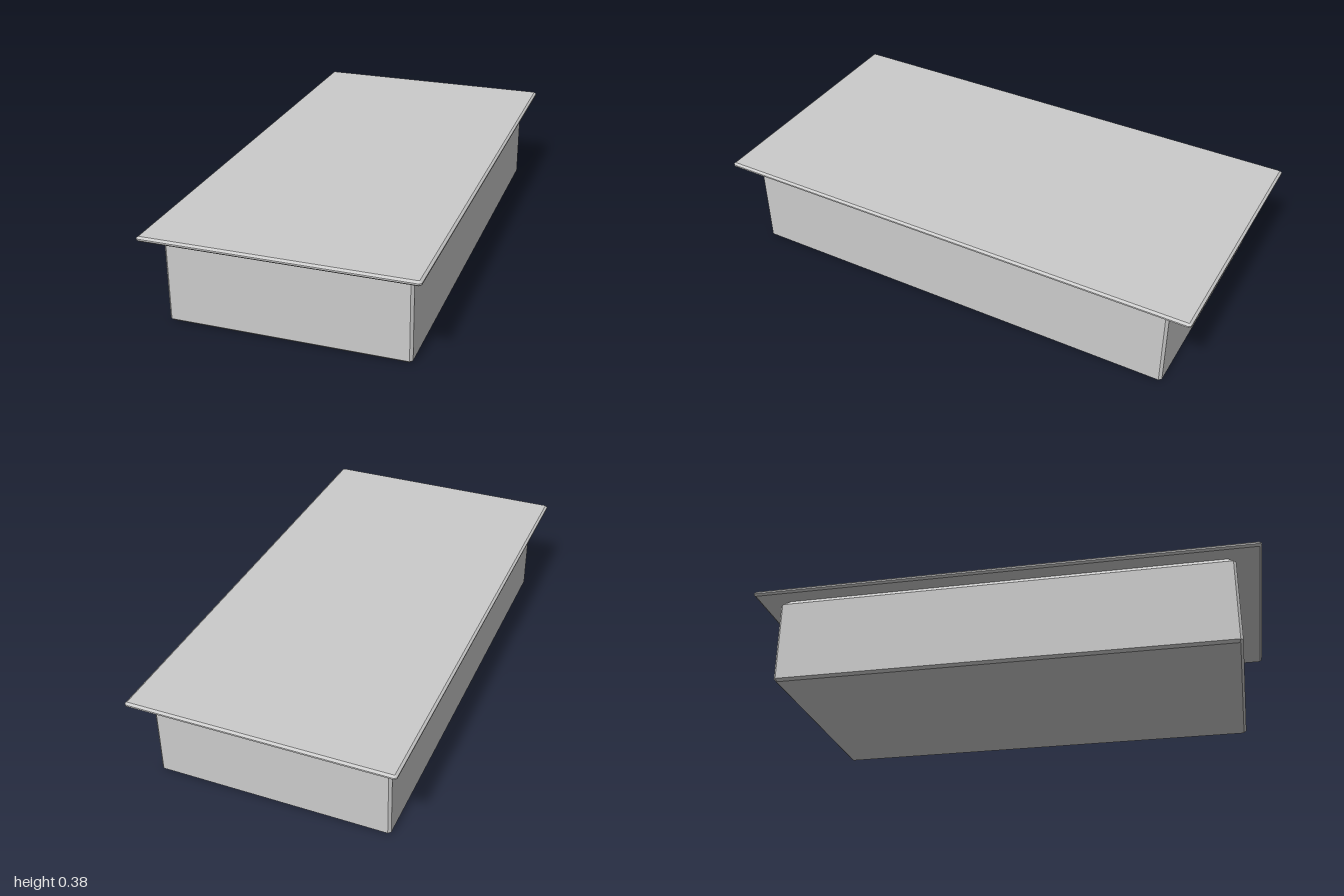
import * as THREE from 'three';

// Stacks chamfered rectangles [y, halfX, halfZ, cornerCut] into a closed solid.
function bevelledBlock(name, sections, material) {
  const rings = sections.map(([y, x, z, c]) => [
    [x, z - c], [x - c, z], [c - x, z], [-x, z - c],
    [-x, c - z], [c - x, -z], [x - c, -z], [x, c - z],
  ].map(([px, pz]) => [px, y, pz]));
  const positions = [];
  const triangle = (a, b, c) => positions.push(...a, ...b, ...c);
  // Side walls
  for (let r = 0; r < rings.length - 1; r++) {
    for (let i = 0; i < 8; i++) {
      const j = (i + 1) % 8;
      const [a, b] = [rings[r][i], rings[r][j]];
      const [c, d] = [rings[r + 1][i], rings[r + 1][j]];
      triangle(a, c, b);
      triangle(b, c, d);
    }
  }
  // Bottom and top caps
  const bottom = rings[0];
  const top = rings[rings.length - 1];
  for (let i = 1; i < 7; i++) {
    triangle(bottom[0], bottom[i], bottom[i + 1]);
    triangle(top[0], top[i + 1], top[i]);
  }
  const geometry = new THREE.BufferGeometry();
  geometry.setAttribute('position', new THREE.Float32BufferAttribute(positions, 3));
  geometry.computeVertexNormals();
  const mesh = new THREE.Mesh(geometry, material);
  mesh.name = name;
  return mesh;
}

export function createModel() {
  const group = new THREE.Group();
  group.name = 'slabTopBlock';
  const material = new THREE.MeshStandardMaterial({
    color: 0xcccccc, flatShading: true, side: THREE.DoubleSide,
  });

  // Base box with bevelled edges and a wider chamfer under the top
  group.add(bevelledBlock('base', [
    [0, 0.453, 0.891, 0.003],
    [0.01, 0.464, 0.902, 0.01],
    [0.335, 0.464, 0.902, 0.01],
    [0.362, 0.436, 0.874, 0.003],
  ], material));

  // Thin overhanging top slab
  group.add(bevelledBlock('topSlab', [
    [0.36, 0.508, 0.991, 0.002],
    [0.367, 0.517, 1, 0.008],
    [0.373, 0.517, 1, 0.008],
    [0.38, 0.508, 0.991, 0.002],
  ], material));

  return group;
}
